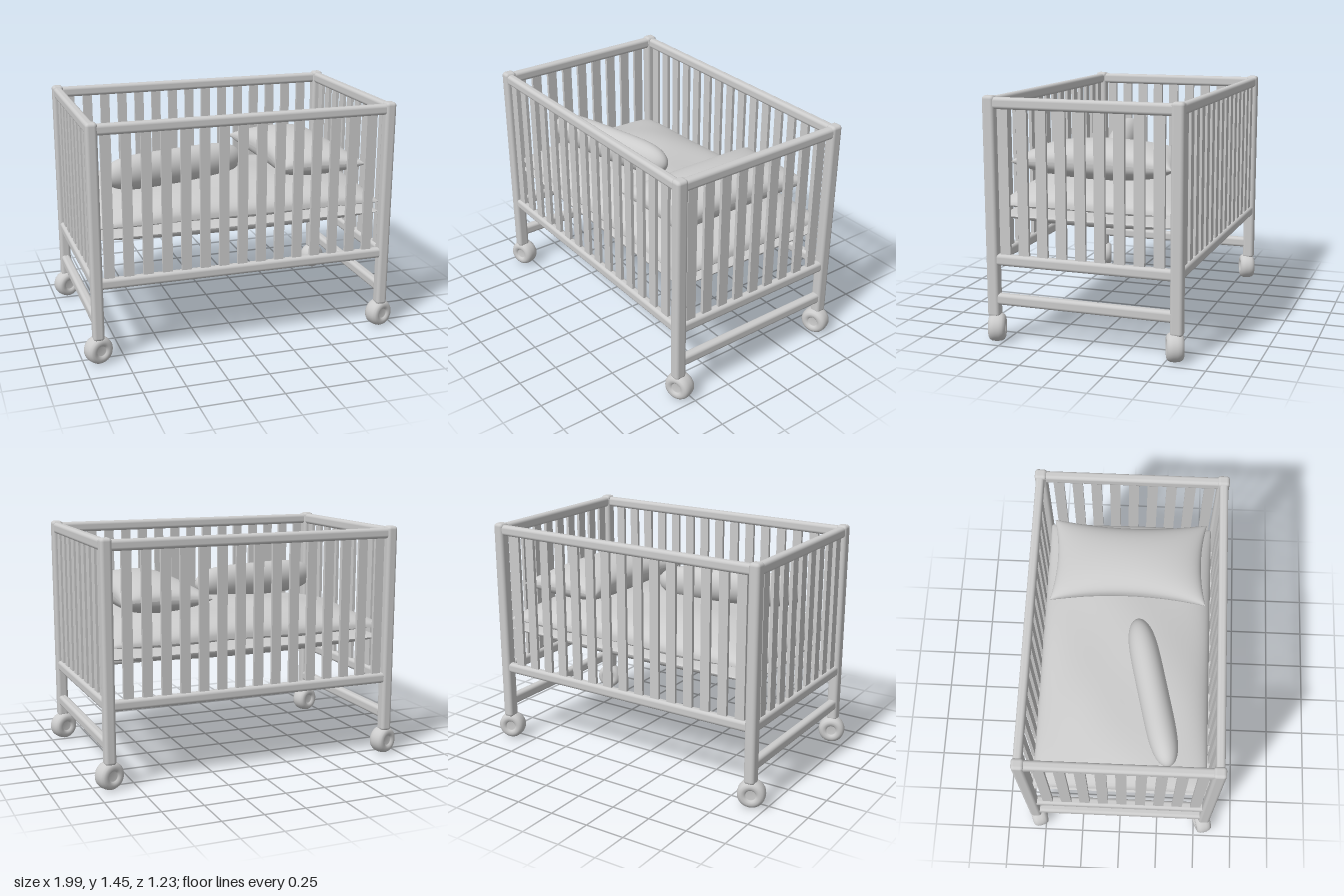
import * as THREE from 'three';
import { RoundedBoxGeometry } from 'three/addons/geometries/RoundedBoxGeometry.js';
import { mergeGeometries } from 'three/addons/utils/BufferGeometryUtils.js';

const grey = new THREE.MeshStandardMaterial({ color: 0xcccccc });

function add(parent, name, geometry, x, y, z) {
  const mesh = new THREE.Mesh(geometry, grey);
  mesh.name = name;
  mesh.position.set(x, y, z);
  parent.add(mesh);
  return mesh;
}

// Soft cushion: two bulging sheets that meet in a seam, with sides drawn in between the corners
function cushion({ w, d, up, down, pinchX = 0, pinchZ = 0, power = 0.45, ripple = 0 }) {
  const ease = (s) => Math.sin((s * Math.PI) / 2);
  const sheet = (side, height) => {
    const geo = new THREE.PlaneGeometry(2, 2, 36, 36);
    geo.rotateX((-side * Math.PI) / 2);
    const p = geo.attributes.position;
    for (let i = 0; i < p.count; i++) {
      const u = ease(p.getX(i));
      const v = ease(p.getZ(i));
      const edge = Math.max(0, (1 - u * u) * (1 - v * v));
      const bulge = Math.pow(edge, power);
      const wave = ripple * Math.sin(u * 6 + 1) * Math.cos(v * 5 - 1) * Math.sqrt(bulge);
      p.setXYZ(
        i,
        w * u * (1 - pinchX * (1 - v * v)),
        side * height * bulge + wave,
        d * v * (1 - pinchZ * (1 - u * u))
      );
    }
    geo.computeVertexNormals();
    return geo;
  };
  return mergeGeometries([sheet(1, up), sheet(-1, down)]);
}

// Caster wheel: rounded tyre with a recessed hub, axis along z
function wheelGeometry() {
  const profile = [
    [0, -0.036], [0.029, -0.036], [0.032, -0.04], [0.042, -0.049], [0.058, -0.05],
    [0.072, -0.044], [0.081, -0.03], [0.084, -0.012], [0.084, 0.012], [0.081, 0.03],
    [0.072, 0.044], [0.058, 0.05], [0.042, 0.049], [0.032, 0.04], [0.029, 0.036], [0, 0.036],
  ].map(([r, y]) => new THREE.Vector2(r, y));
  return new THREE.LatheGeometry(profile, 32).rotateX(Math.PI / 2);
}

export function createModel() {
  const crib = new THREE.Group();
  crib.name = 'crib';
  const frame = new THREE.Group();
  frame.name = 'frame';
  const bedding = new THREE.Group();
  bedding.name = 'bedding';
  crib.add(frame, bedding);

  const postX = 0.91;
  const postZ = 0.56;
  const postGeo = new RoundedBoxGeometry(0.068, 1.305, 0.074, 4, 0.02);
  const longRail = new RoundedBoxGeometry(1.8, 0.065, 0.052, 4, 0.02);
  const endRail = new RoundedBoxGeometry(0.056, 0.068, 1.1, 4, 0.02);
  const longSlat = new THREE.BoxGeometry(0.06, 0.87, 0.02);
  const endSlat = new THREE.BoxGeometry(0.02, 0.87, 0.064);
  const wheelGeo = wheelGeometry();

  // Corner posts and wheels, all wheels turned the same way
  for (const sx of [-1, 1]) {
    for (const sz of [-1, 1]) {
      add(frame, 'cornerPost', postGeo, sx * postX, 0.8025, sz * postZ);
      add(frame, 'wheel', wheelGeo, sx * postX, 0.084, sz * 0.548).rotation.y = 0.35;
    }
  }

  // Long sides: top and bottom rails with slats
  for (const sz of [-1, 1]) {
    const z = sz * 0.563;
    add(frame, 'topSideRail', longRail, 0, 1.412, z);
    add(frame, 'bottomSideRail', longRail, 0, 0.498, z);
    for (let i = 0; i < 15; i++) add(frame, 'sideSlat', longSlat, -0.832 + i * 0.116, 0.955, z);
  }

  // Short ends: rails, slats and a low stretcher
  for (const sx of [-1, 1]) {
    const x = sx * postX;
    add(frame, 'topEndRail', endRail, x, 1.412, 0);
    add(frame, 'bottomEndRail', endRail, x, 0.498, 0);
    add(frame, 'lowStretcher', endRail, x, 0.26, 0);
    for (let i = 0; i < 9; i++) add(frame, 'endSlat', endSlat, x, 0.955, 0.479 - i * 0.1167);
  }

  // Mattress with a thick quilt on top
  add(bedding, 'mattress', cushion({ w: 0.89, d: 0.53, up: 0.03, down: 0.1 }), 0, 0.755, 0);
  add(bedding, 'quilt',
    cushion({ w: 0.89, d: 0.53, up: 0.165, down: 0.045, power: 0.4, ripple: 0.012 }), 0, 0.82, 0);

  // Pillow across the bed with pointed corners
  add(bedding, 'pillow',
    cushion({ w: 0.28, d: 0.487, up: 0.12, down: 0.12, pinchX: 0.2, pinchZ: 0.07, power: 0.4 }),
    0.52, 1.06, 0);

  // Bolster lying at a slant
  const profile = [];
  for (let i = 0; i <= 40; i++) {
    const t = -Math.cos((i / 40) * Math.PI);
    profile.push(new THREE.Vector2(Math.sqrt(Math.max(0, 1 - Math.abs(t) ** 5)), t * 0.475));
  }
  const bolsterGeo = new THREE.LatheGeometry(profile, 32).scale(0.108, 1, 0.092).rotateZ(-Math.PI / 2);
  add(bedding, 'bolster', bolsterGeo, -0.33, 1.06, 0.178).rotation.y = 0.235;

  return crib;
}
